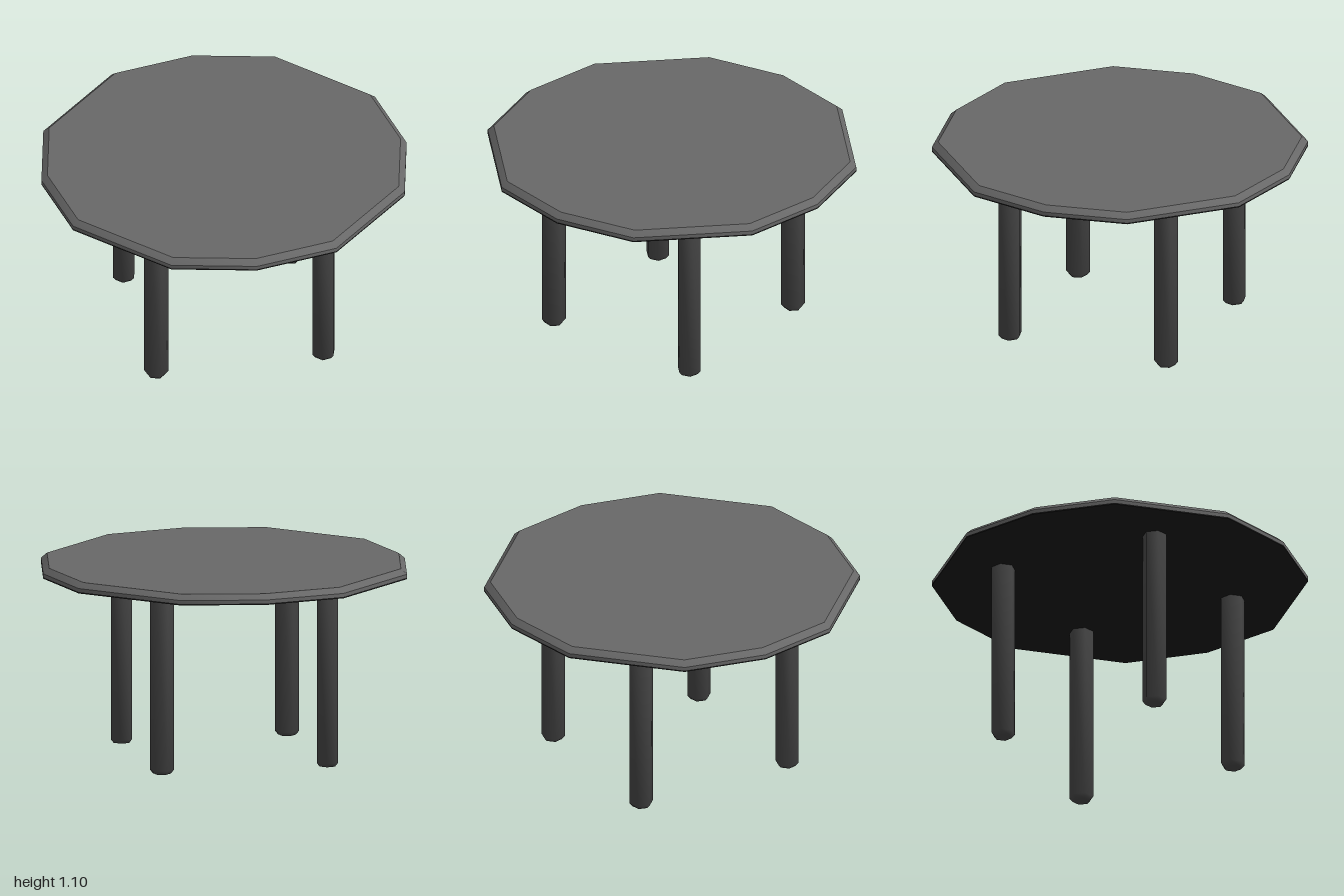
import * as THREE from 'three';
import { toCreasedNormals } from 'three/addons/utils/BufferGeometryUtils.js';

// Closed solid from an [x, z] outline repeated at levels of [y, scale], bottom to top
function loft(outline, levels, crease) {
  const n = outline.length;
  const pos = [];
  const idx = [];
  for (const [y, s] of levels) {
    for (const [x, z] of outline) pos.push(x * s, y, z * s);
  }
  const last = levels.length - 1;
  const bottom = pos.length / 3;
  pos.push(0, levels[0][0], 0, 0, levels[last][0], 0);
  for (let i = 0; i < n; i++) {
    const j = (i + 1) % n;
    for (let k = 0; k < last; k++) {
      const a = k * n + i, b = k * n + j;
      idx.push(a, a + n, b + n, a, b + n, b);
    }
    idx.push(bottom, i, j, bottom + 1, last * n + j, last * n + i);
  }
  const geo = new THREE.BufferGeometry();
  geo.setAttribute('position', new THREE.Float32BufferAttribute(pos, 3));
  geo.setIndex(idx);
  return toCreasedNormals(geo, crease);
}

export function createModel() {
  const group = new THREE.Group();
  const addPart = (name, geo, color) => {
    const mesh = new THREE.Mesh(geo, new THREE.MeshStandardMaterial({ color }));
    mesh.name = name;
    group.add(mesh);
    return mesh;
  };

  // Twelve-sided top: three corners per quarter turn
  const topOutline = [];
  for (let q = 0; q < 4; q++) {
    const c = Math.round(Math.cos(q * Math.PI / 2));
    const s = Math.round(Math.sin(q * Math.PI / 2));
    for (const [x, z] of [[1, -0.335], [1, 0.335], [0.735, 0.735]]) {
      topOutline.push([x * c - z * s, x * s + z * c]);
    }
  }
  addPart('tableTop', loft(topOutline, [[1.05, 1], [1.07, 1], [1.1, 0.967]], 0.65), 0x686868);
  addPart('underside', loft(topOutline, [[1.042, 1], [1.05, 1]], 0.65), 0x1a1a1a);

  // Four six-sided legs with bevelled feet, one corner pointing outwards
  const legOutline = [];
  for (let i = 0; i < 6; i++) {
    const a = i * Math.PI / 3;
    legOutline.push([0.068 * Math.cos(a), 0.068 * Math.sin(a)]);
  }
  const legGeo = loft(legOutline, [[0, 0.74], [0.022, 1], [1.045, 1]], 1.2);
  ['leftLeg', 'backLeg', 'rightLeg', 'frontLeg'].forEach((name, i) => {
    const a = i * Math.PI / 2;
    const leg = addPart(name, legGeo, 0x484848);
    // Each leg sits slightly to one side of its axis, the same way round
    leg.position.set(0.675, 0, -0.009).applyAxisAngle(new THREE.Vector3(0, 1, 0), a);
    leg.position.x -= 0.009;
    leg.position.z -= 0.009;
    leg.rotation.y = a;
  });
  return group;
}
